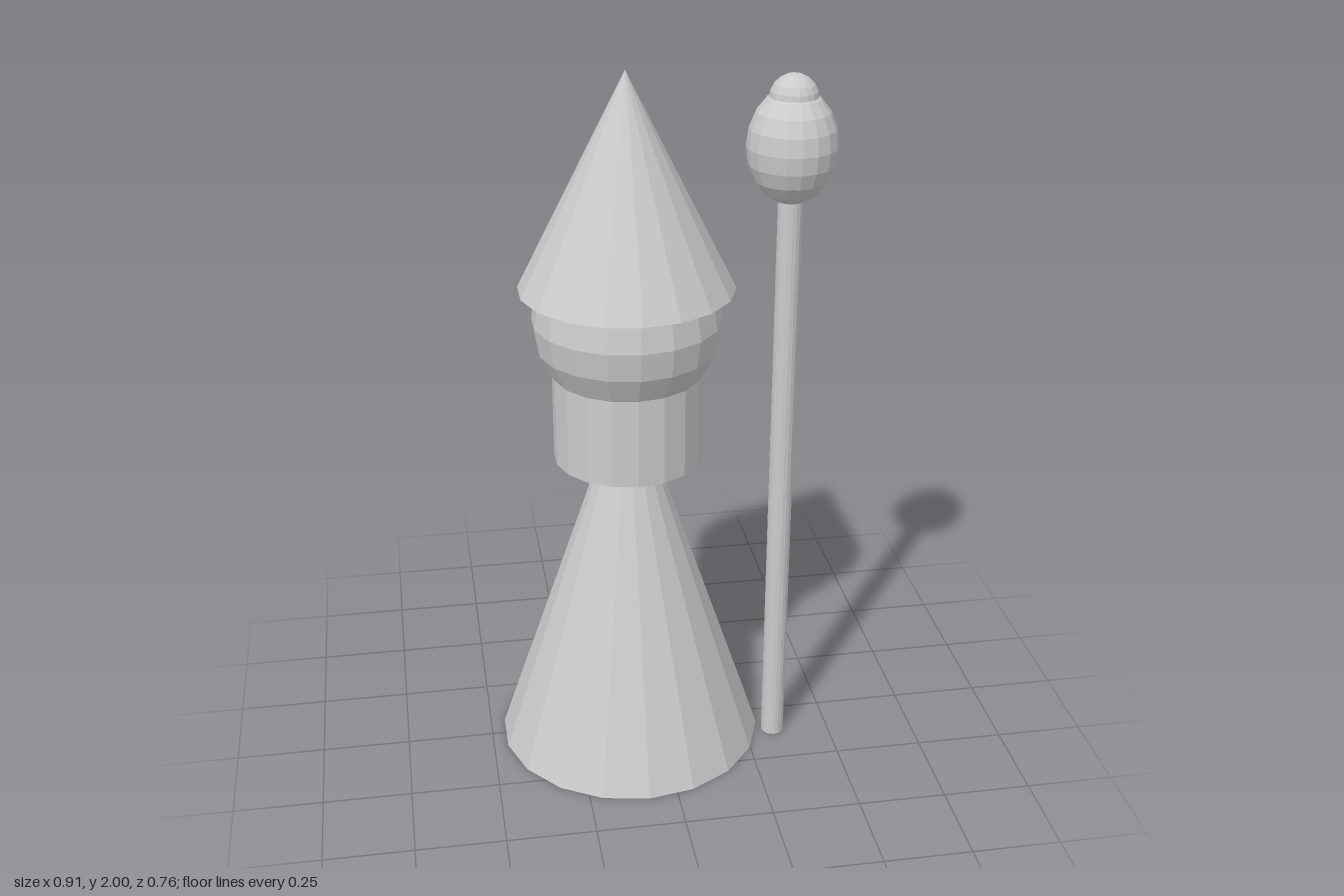
import * as THREE from 'three';

const SIDES = 18;

export function createModel() {
  const model = new THREE.Group();
  const material = new THREE.MeshStandardMaterial({ color: 0xcccccc, flatShading: true });

  function add(parent, name, geometry, y) {
    const mesh = new THREE.Mesh(geometry, material);
    mesh.name = name;
    mesh.position.y = y;
    parent.add(mesh);
    return mesh;
  }
  // Upright tapered solid standing between two heights
  const column = (parent, name, rTop, rBottom, y0, y1) =>
    add(parent, name, new THREE.CylinderGeometry(rTop, rBottom, y1 - y0, SIDES), (y0 + y1) / 2);
  const cone = (parent, name, r, y0, y1) =>
    add(parent, name, new THREE.ConeGeometry(r, y1 - y0, SIDES), (y0 + y1) / 2);
  // Ball turned so its corners line up with those of the columns
  const ball = (parent, name, r, y, stretch = 1) =>
    add(parent, name, new THREE.SphereGeometry(r, SIDES, 10).rotateY(Math.PI / 2).scale(1, stretch, 1), y);

  // Figure: robe, collar, head and pointed hat
  const figure = new THREE.Group();
  figure.name = 'figure';
  figure.position.x = -0.083;
  cone(figure, 'robe', 0.382, 0, 1.14);
  column(figure, 'collar', 0.208, 0.208, 0.91, 1.24);
  ball(figure, 'head', 0.26, 1.32);
  cone(figure, 'hat', 0.295, 1.41, 2);
  model.add(figure);

  // Staff with an egg-shaped head and a small knob on top
  const staff = new THREE.Group();
  staff.name = 'staff';
  staff.position.set(0.335, 0, 0.104);
  column(staff, 'staffPole', 0.033, 0.033, 0, 1.7);
  ball(staff, 'staffHead', 0.12, 1.812, 1.28);
  ball(staff, 'staffKnob', 0.065, 1.935);
  model.add(staff);

  return model;
}
